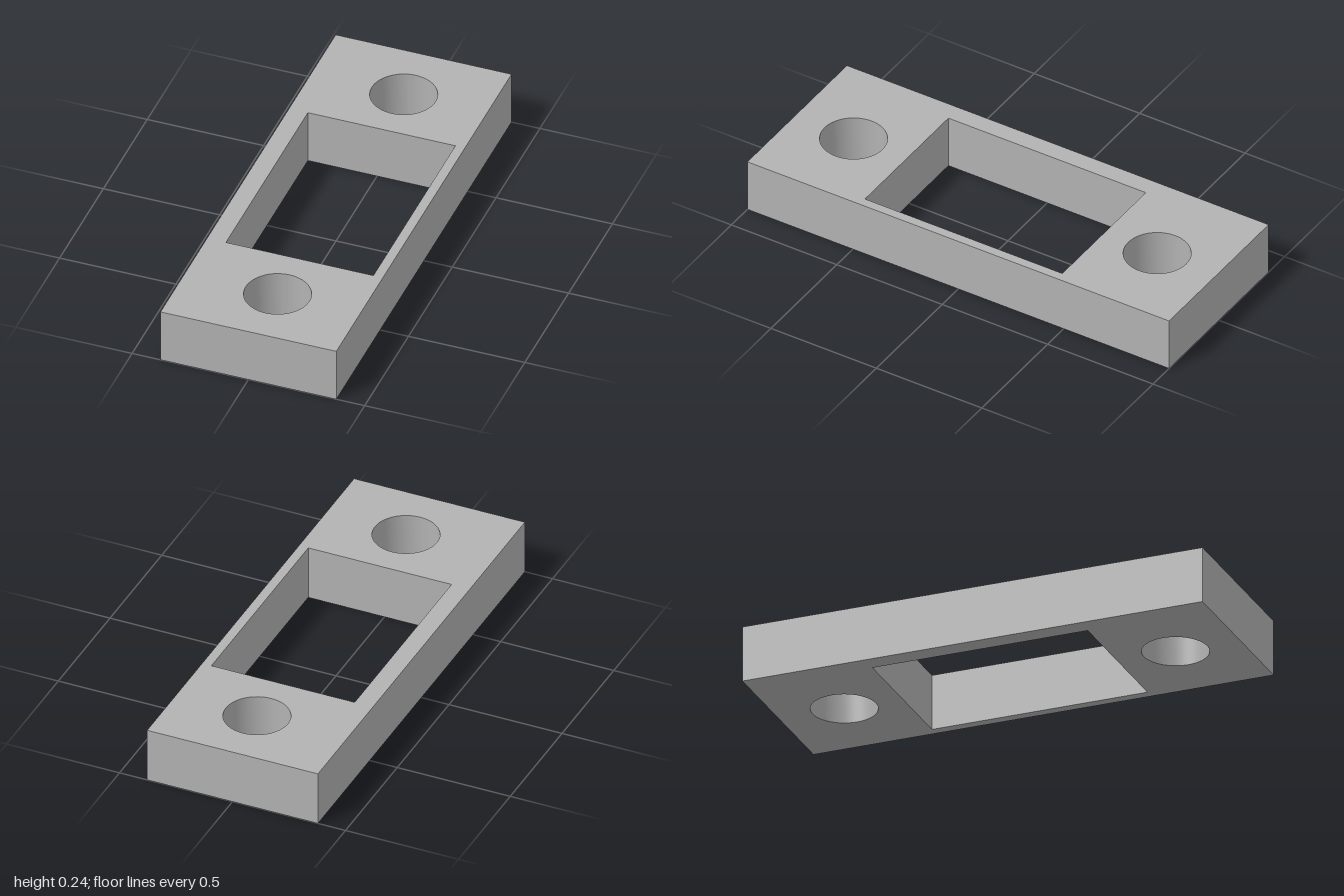
import * as THREE from 'three';
import { toCreasedNormals } from 'three/addons/utils/BufferGeometryUtils.js';

const HEIGHT = 0.24;

// Closed rectangle in plan: x across, y of the shape becomes z
function rectangle(path, x0, x1, z0, z1) {
  path.moveTo(x0, z0);
  path.lineTo(x1, z0);
  path.lineTo(x1, z1);
  path.lineTo(x0, z1);
  path.closePath();
  return path;
}

export function createModel() {
  const model = new THREE.Group();
  model.name = 'mountingPlate';

  const grey = new THREE.MeshStandardMaterial({ color: 0xb2b2b2 });
  grey.name = 'grey';

  // Plate outline with the off-centre window
  const outline = rectangle(new THREE.Shape(), -0.378, 0.378, -1, 1);
  outline.holes.push(rectangle(new THREE.Path(), -0.297, 0.337, -0.468, 0.468));

  // Round bolt hole at each end
  for (const z of [-0.72, 0.72]) {
    outline.holes.push(new THREE.Path().absarc(0.02, z, 0.137, 0, Math.PI * 2, true));
  }

  // Extrude, lay flat and stand on the ground
  const extruded = new THREE.ExtrudeGeometry(outline, {
    depth: HEIGHT, bevelEnabled: false, curveSegments: 32,
  });
  extruded.rotateX(Math.PI / 2).translate(0, HEIGHT, 0);

  const plate = new THREE.Mesh(toCreasedNormals(extruded, 0.5), grey);
  plate.name = 'plate';
  model.add(plate);
  return model;
}
